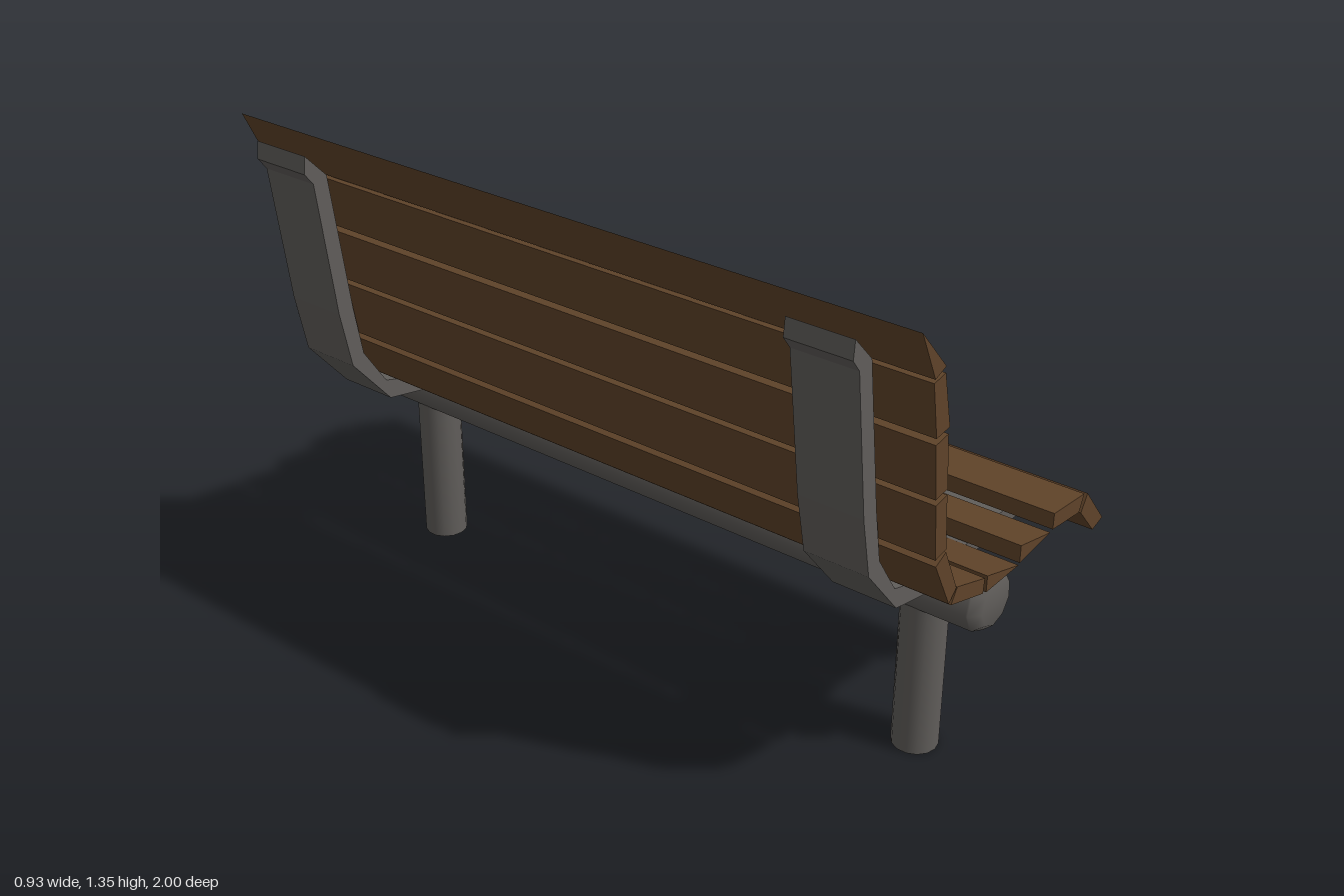
import * as THREE from 'three';

export function createModel() {
  const group = new THREE.Group();
  group.name = 'bench';
  const wood = new THREE.MeshStandardMaterial({ color: 0x5f4329 });
  wood.name = 'brown wood';
  const metal = new THREE.MeshStandardMaterial({ color: 0x605d5a });
  metal.name = 'grey metal';

  const add = (geometry, material, name) => {
    const mesh = new THREE.Mesh(geometry, material);
    mesh.name = name;
    group.add(mesh);
    return mesh;
  };

  // Extrudes an x/y profile from z0 to z1
  const prism = (points, z0, z1, material, name) => {
    const shape = new THREE.Shape(points.map(([x, y]) => new THREE.Vector2(x, y)));
    const geometry = new THREE.ExtrudeGeometry(shape, { depth: z1 - z0, bevelEnabled: false });
    geometry.translate(0, 0, z0);
    return add(geometry, material, name);
  };

  // Slats, from the top of the back to the front of the seat
  const backSlats = [
    [[-0.443, 1.346], [-0.382, 1.221], [-0.343, 1.236]],
    [[-0.386, 1.214], [-0.361, 1.079], [-0.311, 1.086], [-0.343, 1.221]],
    [[-0.361, 1.064], [-0.346, 0.929], [-0.3, 0.936], [-0.314, 1.071]],
    [[-0.343, 0.914], [-0.329, 0.775], [-0.286, 0.782], [-0.3, 0.921]],
    [[-0.325, 0.757], [-0.257, 0.629], [-0.229, 0.657], [-0.286, 0.775]],
  ];
  const seatSlats = [
    [[-0.247, 0.621], [-0.107, 0.579], [-0.104, 0.618], [-0.225, 0.657]],
    [[-0.093, 0.575], [0.05, 0.575], [-0.093, 0.618]],
    [[0.054, 0.579], [0.193, 0.593], [0.054, 0.625]],
    [[0.204, 0.596], [0.332, 0.582], [0.35, 0.625], [0.204, 0.639]],
    [[0.343, 0.575], [0.418, 0.493], [0.464, 0.507], [0.368, 0.618]],
  ];
  backSlats.forEach((p, i) => prism(p, -0.97, 1, wood, `backSlat${i + 1}`));
  seatSlats.forEach((p, i) => prism(p, -0.97, 1, wood, `seatSlat${i + 1}`));

  // Bent brackets carrying the slats
  const bracket = [
    [-0.465, 1.25], [-0.44, 1.218], [-0.393, 0.85], [-0.361, 0.693],
    [-0.239, 0.55], [-0.082, 0.518], [0.1, 0.532], [0.204, 0.543], [0.3, 0.539],
    [0.361, 0.493], [0.4, 0.518], [0.314, 0.584], [0.204, 0.586], [0.05, 0.573],
    [-0.107, 0.564], [-0.25, 0.607], [-0.321, 0.714], [-0.345, 0.85],
    [-0.396, 1.229], [-0.46, 1.296],
  ];
  prism(bracket, 0.69, 0.86, metal, 'frontBracket');
  prism(bracket, -0.9, -0.73, metal, 'rearBracket');

  // Long nine-sided beam with softened ends
  const beamProfile = [
    [0, -1], [0.062, -1], [0.085, -0.975], [0.085, -0.97],
    [0.085, 0.94], [0.085, 0.945], [0.062, 0.97], [0, 0.97],
  ].map(([r, y]) => new THREE.Vector2(r, y));
  const beam = new THREE.LatheGeometry(beamProfile, 9, -0.07);
  beam.rotateX(Math.PI / 2);
  add(beam, metal, 'beam').position.set(0.017, 0.48, 0);

  // Round posts
  [[0.785, 'frontPost'], [-0.81, 'rearPost']].forEach(([z, name]) => {
    const post = new THREE.CylinderGeometry(0.059, 0.059, 0.45, 14);
    add(post, metal, name).position.set(0.015, 0.225, z);
  });

  return group;
}
